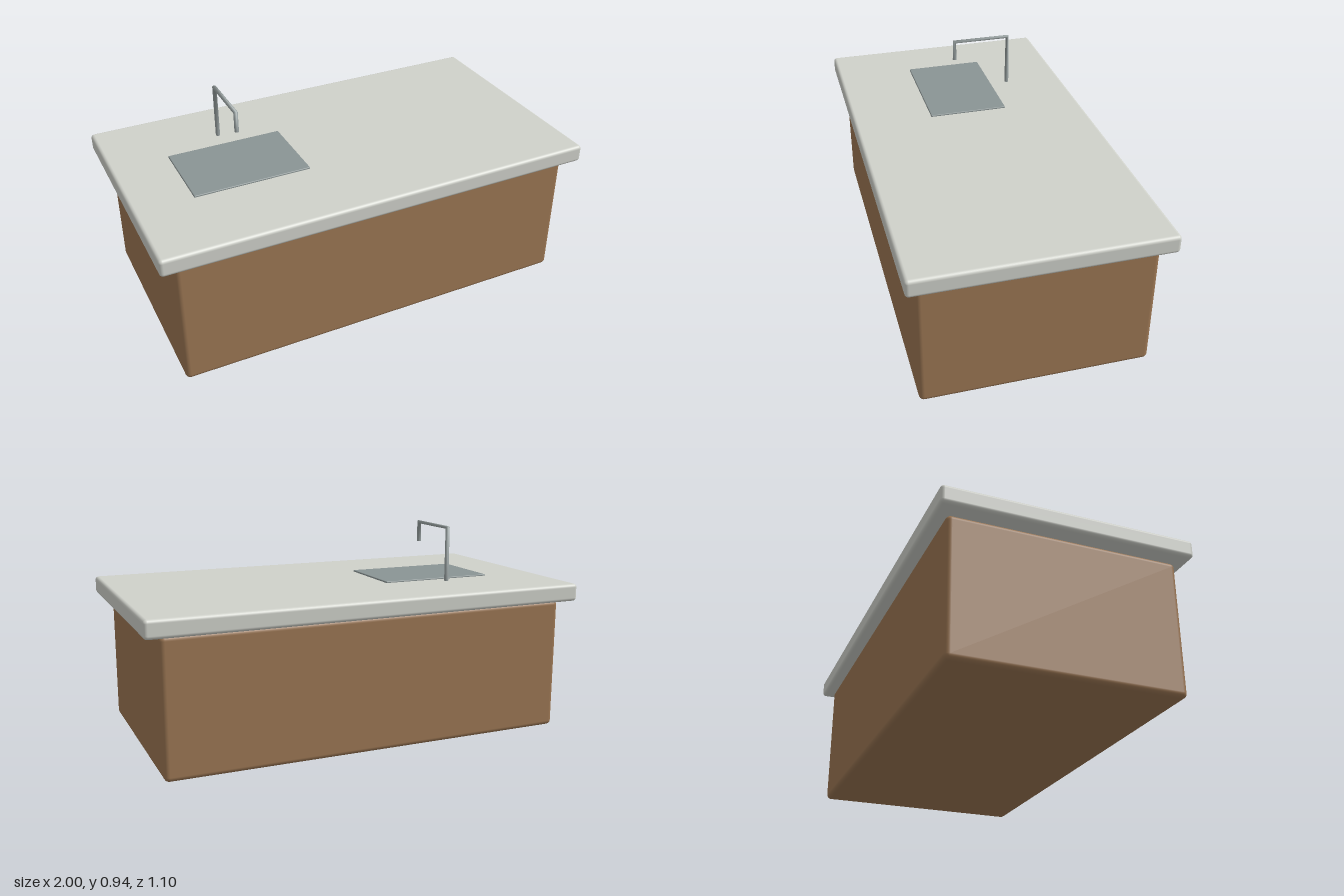
import * as THREE from 'three';
import { RoundedBoxGeometry } from 'three/addons/geometries/RoundedBoxGeometry.js';

// Straight-sided path with evenly turned joints, one tube ring per point.
class Polyline extends THREE.Curve {
  constructor(points) {
    super();
    this.points = points;
  }
  getPoint(t, target = new THREE.Vector3()) {
    const n = this.points.length - 1;
    const i = Math.min(Math.floor(t * n + 1e-6), n - 1);
    return target.lerpVectors(this.points[i], this.points[i + 1], t * n - i);
  }
  getPointAt(u, target) {
    return this.getPoint(u, target);
  }
  getTangentAt(u, target = new THREE.Vector3()) {
    const p = this.points, n = p.length - 1, i = Math.round(u * n);
    target.set(0, 0, 0);
    if (i > 0) target.add(p[i].clone().sub(p[i - 1]).normalize());
    if (i < n) target.add(p[i + 1].clone().sub(p[i]).normalize());
    return target.normalize();
  }
}

export function createModel() {
  const model = new THREE.Group();
  model.name = 'kitchenIsland';
  const paint = (color) => new THREE.MeshStandardMaterial({ color });
  const add = (parent, name, geometry, material) => {
    const mesh = new THREE.Mesh(geometry, material);
    mesh.name = name;
    parent.add(mesh);
    return mesh;
  };
  // Rounded slab given its footprint and its bottom and top heights
  const slab = (name, width, depth, y0, y1, radius, color, x = 0) => {
    const geometry = new RoundedBoxGeometry(width, y1 - y0, depth, 4, radius);
    add(model, name, geometry, paint(color)).position.set(x, (y0 + y1) / 2, 0);
  };

  slab('cabinet', 1.862, 1, 0, 0.603, 0.022, 0x9b7653);
  slab('countertop', 2, 1.096, 0.602, 0.682, 0.016, 0xcfd1ca);
  slab('sink', 0.533, 0.366, 0.676, 0.689, 0.004, 0x8a9494, -0.469);

  // Faucet: riser, arm and downward spout in one tube
  const faucet = new THREE.Group();
  faucet.name = 'faucet';
  faucet.position.x = -0.469;
  const path = [[0.689, -0.267], [0.935, -0.267], [0.935, 0.002], [0.842, 0.002]]
    .map(([y, z]) => new THREE.Vector3(0, y, z));
  const steel = paint(0x9aa3a3);
  add(faucet, 'faucetPipe', new THREE.TubeGeometry(new Polyline(path), 3, 0.01, 16), steel);
  for (const [name, end] of [['pipeBase', path[0]], ['spoutEnd', path[3]]]) {
    const cap = add(faucet, name, new THREE.CircleGeometry(0.01, 16), steel);
    cap.rotation.x = Math.PI / 2;
    cap.position.copy(end);
  }
  model.add(faucet);
  return model;
}
